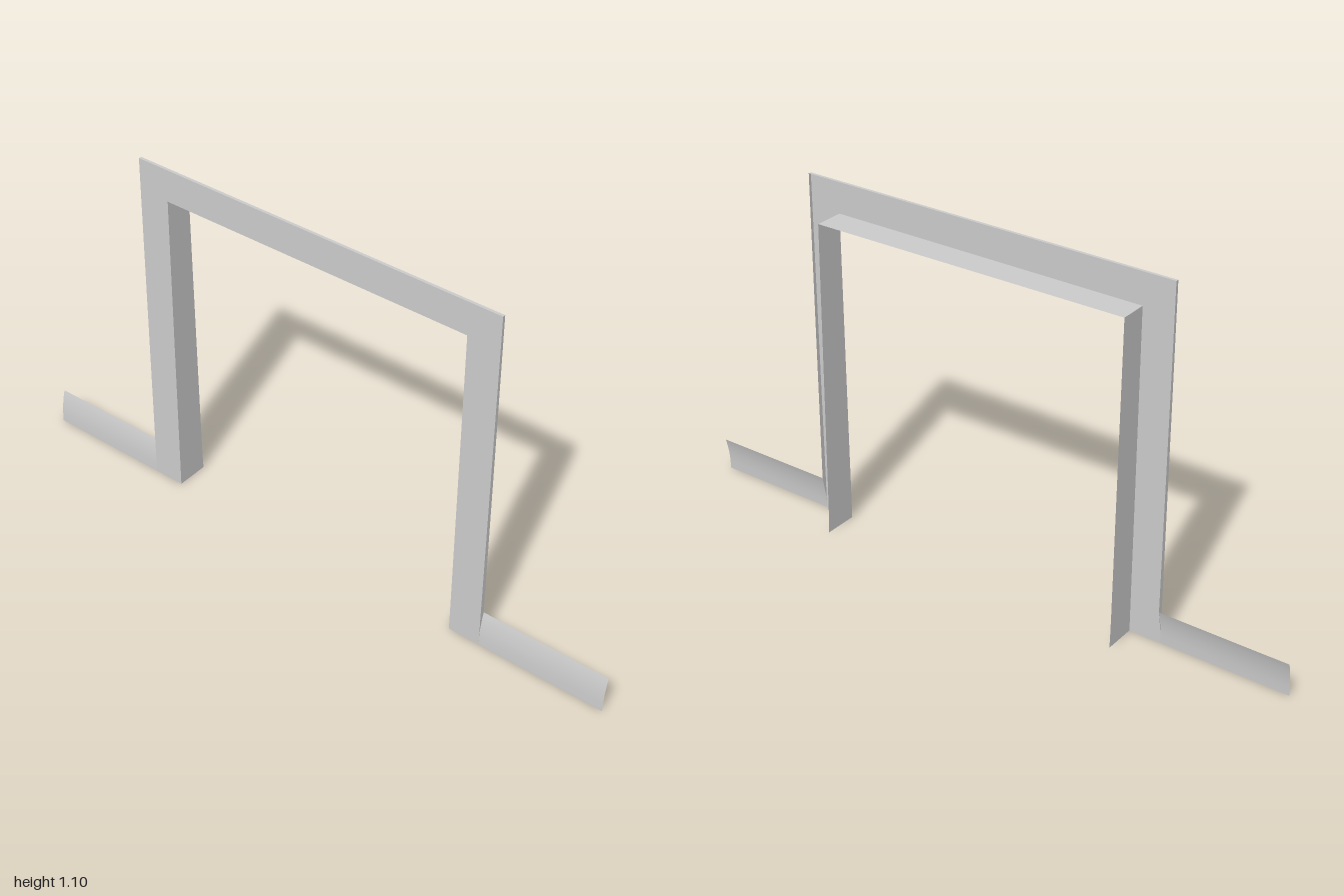
import * as THREE from 'three';

const material = new THREE.MeshStandardMaterial({ color: 0xcccccc, side: THREE.DoubleSide });

// Surface through rows of points (all rows the same length)
function sheet(name, rows, smooth = false) {
  const n = rows[0].length;
  const index = [];
  for (let r = 0; r < rows.length - 1; r++) {
    for (let i = 0; i < n - 1; i++) {
      const a = r * n + i, b = a + 1, c = a + n, d = c + 1;
      index.push(a, c, b, b, c, d);
    }
  }
  let geo = new THREE.BufferGeometry();
  geo.setAttribute('position', new THREE.Float32BufferAttribute(rows.flat(2), 3));
  geo.setIndex(index);
  if (!smooth) geo = geo.toNonIndexed();
  geo.computeVertexNormals();
  const mesh = new THREE.Mesh(geo, material);
  mesh.name = name;
  return mesh;
}

// Front plane of the trim: leans and turns very slightly
const frontZ = (x, y) => 0.0505 + 0.0065 * x - 0.0095 * (y / 1.1);

export function createModel() {
  const group = new THREE.Group();
  group.name = 'doorwayTrim';

  // Stations up a leg: inner y, outer y, lip depth, jamb back z
  const leg = [
    [0, 0, 0.001, -0.055],
    [0.04, 0.04, 0.002, -0.0535],
    [0.11, 0.11, 0.0145, -0.0525],
    [1.0, 1.1, 0.009, -0.047],
  ];
  const path = [
    ...leg.map((s) => [-1, ...s]),
    ...leg.slice().reverse().map((s) => [1, ...s]),
  ];
  const inner = path.map(([s, y]) => [0.5 * s, y, frontZ(0.5 * s, y)]);
  const outer = path.map(([s, , y]) => [0.6 * s, y, frontZ(0.6 * s, y)]);
  const lip = path.map(([s, , y, d]) => [0.6 * s, y, frontZ(0.6 * s, y) - d]);
  const back = path.map(([s, y, , , z]) => [0.5 * s, y, z]);

  // Door casing: flat face, shallow outer lip, and the lining of the opening
  group.add(sheet('casingFace', [inner, outer]));
  group.add(sheet('casingLip', [outer.slice(1, -1), lip.slice(1, -1)]));
  group.add(sheet('doorLining', [back, inner]));

  // Baseboards with a softly curved front: height, setback
  const profile = [[0, 0], [0.03, 0.001], [0.06, 0.004], [0.085, 0.009], [0.1, 0.0128], [0.11, 0.016]];
  for (const s of [-1, 1]) {
    const ends = s > 0 ? [0.6, 1] : [-1, -0.6];
    const rows = profile.map(([y, d]) => ends.map((x) => [x, y, frontZ(x, 0) - d]));
    group.add(sheet(s > 0 ? 'leftBaseboard' : 'rightBaseboard', rows.reverse(), true));
  }
  return group;
}
